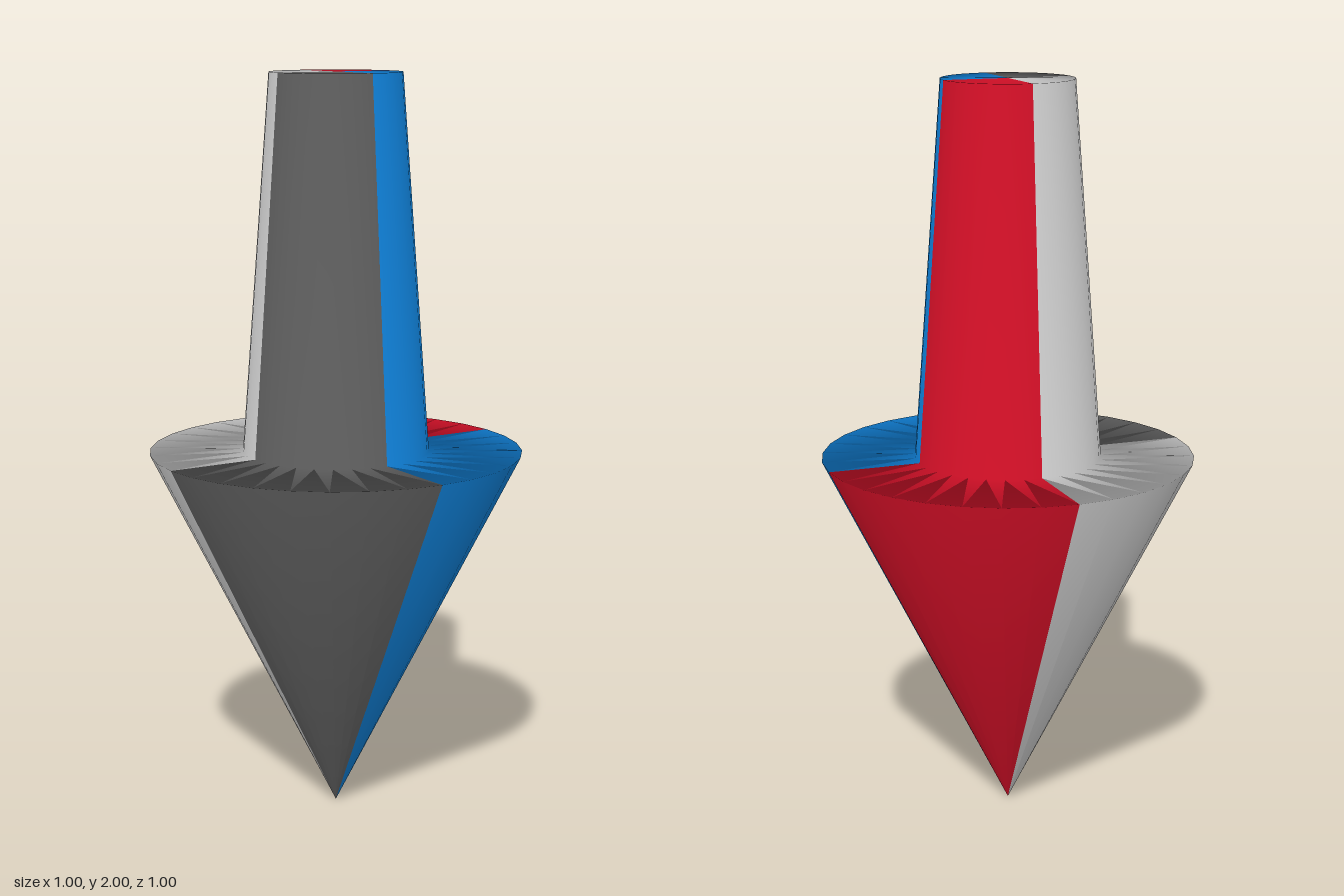
import * as THREE from 'three';

// Downward-pointing arrow: a cone head and a tapered shaft, split into four coloured quarters.
export function createModel() {
  const model = new THREE.Group();
  model.name = 'arrow';

  // Half profile from the tip up: tip, head rim, shaft base, shaft top, axis
  const profile = [[0, 0], [0.5, 1], [0.25, 1], [0.175, 2], [0, 2]]
    .map(([r, y]) => new THREE.Vector2(r, y));

  // Quarters in order around the y axis, starting at +z and turning towards +x
  const quarters = [
    ['frontLeftQuarter', 0x0f7fd6],
    ['backLeftQuarter', 0xcf0f26],
    ['backRightQuarter', 0xcccccc],
    ['frontRightQuarter', 0x5c5c5c],
  ];

  quarters.forEach(([name, color], i) => {
    const geometry = new THREE.LatheGeometry(profile, 8, i * Math.PI / 2, Math.PI / 2);
    const mesh = new THREE.Mesh(geometry, new THREE.MeshStandardMaterial({ color }));
    mesh.name = name;
    model.add(mesh);
  });

  return model;
}
